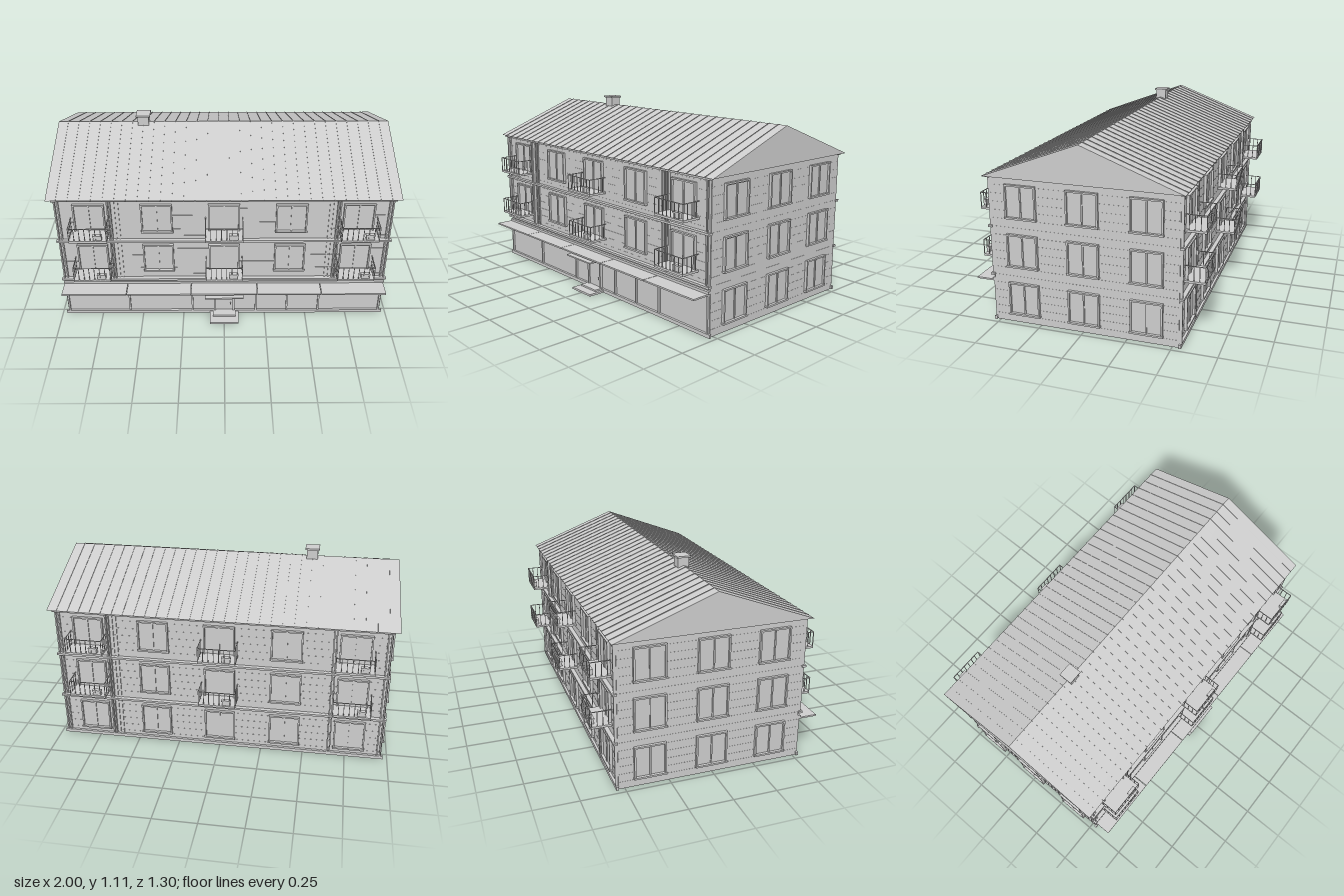
import * as THREE from 'three';

const gray = new THREE.MeshStandardMaterial({ color: 0xcccccc });
gray.name = 'plaster gray';

// Box given by its min and max corners
function box(parent, name, x0, x1, y0, y1, z0, z1) {
  const m = new THREE.Mesh(new THREE.BoxGeometry(x1 - x0, y1 - y0, z1 - z0), gray);
  m.position.set((x0 + x1) / 2, (y0 + y1) / 2, (z0 + z1) / 2);
  m.name = name;
  parent.add(m);
  return m;
}

function group(parent, name) {
  const g = new THREE.Group();
  g.name = name;
  parent.add(g);
  return g;
}

// Two-sash window; wall plane is local z = 0
function addWindow(wall, x, y) {
  const g = group(wall, 'window');
  g.position.set(x, y, 0);
  const w = 0.09, h = 0.19, t = 0.009;
  box(g, 'glass', -w, w, 0, h, 0, 0.004);
  box(g, 'frameLeft', -w, -w + t, 0, h, 0, 0.016);
  box(g, 'frameRight', w - t, w, 0, h, 0, 0.016);
  box(g, 'frameTop', -w, w, h - t, h, 0, 0.016);
  box(g, 'sill', -w - 0.003, w + 0.003, -0.002, 0.008, 0, 0.02);
  box(g, 'mullion', -0.004, 0.004, 0, h, 0, 0.01);
  for (const s of [-1, 1]) box(g, 'sashRail', s * 0.042 - 0.039, s * 0.042 + 0.039, h - 0.015, h - t, 0, 0.008);
}

// Slab, railing and planter
function addBalcony(wall, x, y) {
  const g = group(wall, 'balcony');
  g.position.set(x, y, 0);
  const w = 0.108, d = 0.115, h = 0.098, r = 0.0018;
  box(g, 'balconySlab', -w, w, 0, 0.012, 0, d);
  box(g, 'frontRail', -w, w, h - 0.004, h, d - 0.004, d);
  for (const s of [-1, 1]) {
    const sx = s * (w - 0.002);
    box(g, 'sideRail', sx - 0.002, sx + 0.002, h - 0.004, h, 0, d);
    for (let i = 0; i < 3; i++) {
      const z = 0.02 + i * 0.031;
      box(g, 'baluster', sx - r, sx + r, 0.01, h, z - r, z + r);
    }
  }
  for (let i = 0; i < 8; i++) {
    const bx = -w + 0.002 + i * (2 * w - 0.004) / 7;
    box(g, 'baluster', bx - r, bx + r, 0.01, h, d - 0.004, d);
  }
  box(g, 'planter', 0.031, 0.079, 0.015, 0.043, d - 0.023, d - 0.004);
  box(g, 'planterRim', 0.028, 0.082, 0.04, 0.047, d - 0.025, d - 0.002);
}

// Shallow joint lines of the cladding
function addCladding(wall, halfWidth, yStart) {
  for (let y = yStart; y < 0.83; y += 0.047)
    box(wall, 'claddingJoint', -halfWidth, halfWidth, y, y + 0.002, 0, 0.001);
}

const floors = [0.05, 0.333, 0.613];
const bays = [-0.77, -0.386, 0, 0.386, 0.77];

// Long facade with bands, pilasters, windows and balconies
function addLongFacade(wall, isFront) {
  floors.forEach((y, f) => {
    if (f === 0 && isFront) return;
    bays.forEach((x, i) => {
      addWindow(wall, x, y);
      if (f > 0 && i % 2 === 0) addBalcony(wall, x, y);
    });
  });
  for (const y of [0.268, 0.549, 0.831])
    box(wall, 'floorBand', -0.972, 0.972, y, y + 0.012, 0, 0.024);
  box(wall, 'plinth', -0.975, 0.975, 0, 0.02, 0, 0.014);
  const base = isFront ? 0.27 : 0.02;
  for (const s of [-1, 1])
    for (const [x, d] of [[0.957, 0.016], [0.939, 0.01], [0.661, 0.016], [0.646, 0.016], [0.625, 0.006], [0.603, 0.006]])
      box(wall, 'pilaster', s * x - 0.004, s * x + 0.004, base, 0.835, 0, d);
  addCladding(wall, 0.96, isFront ? 0.3 : 0.04);
}

// Ground floor entrance side
function addEntrance(wall) {
  for (const x of [-0.955, -0.58, -0.195, 0.195, 0.386, 0.58, 0.955])
    box(wall, 'groundPost', x - 0.005, x + 0.005, 0.02, 0.235, 0, 0.012);
  const edges = [-0.965, -0.58, -0.197, 0.197, 0.577, 0.962];
  for (let i = 0; i < 5; i++)
    box(wall, 'canopyPanel', edges[i] + 0.0015, edges[i + 1] - 0.0015, 0.229, 0.238, 0, 0.117);
  box(wall, 'canopyBacking', -0.965, 0.965, 0.238, 0.252, 0, 0.016);
  box(wall, 'doorCanopy', -0.114, 0.114, 0.211, 0.219, 0, 0.132);
  box(wall, 'lowerStep', -0.088, 0.088, 0, 0.012, 0, 0.115);
  box(wall, 'upperStep', -0.07, 0.07, 0.01, 0.022, 0, 0.062);
  box(wall, 'door', -0.052, 0.052, 0.02, 0.19, 0, 0.008);
  for (const s of [-1, 1]) box(wall, 'doorJamb', s * 0.057 - 0.006, s * 0.057 + 0.006, 0.02, 0.195, 0, 0.017);
  box(wall, 'doorLintel', -0.068, 0.068, 0.19, 0.2, 0, 0.02);
  box(wall, 'doorHandle', 0.037, 0.043, 0.068, 0.082, 0.006, 0.016);
}

export function createModel() {
  const model = new THREE.Group();
  model.name = 'apartmentBuilding';
  box(model, 'walls', -0.965, 0.965, 0, 0.843, -0.535, 0.52);

  // Long sides
  const front = group(model, 'frontFacade');
  front.position.z = 0.52;
  addLongFacade(front, true);
  addEntrance(front);
  const back = group(model, 'backFacade');
  back.position.z = -0.535;
  back.rotation.y = Math.PI;
  addLongFacade(back, false);

  // Gable sides
  for (const s of [-1, 1]) {
    const side = group(model, s > 0 ? 'leftFacade' : 'rightFacade');
    side.position.set(s * 0.965, 0, -0.008);
    side.rotation.y = s * Math.PI / 2;
    for (const y of floors) for (const x of [-0.351, 0, 0.351]) addWindow(side, x, y);
    const cladding = group(side, 'cladding');
    cladding.position.x = 0;
    addCladding(cladding, 0.525, 0.04);
  }

  // Closed gable roof, extruded along x
  const eaveF = 0.552, eaveB = -0.566, ridgeZ = -0.007, eaveY = 0.843, ridgeY = 1.055;
  const gable = new THREE.Shape([
    new THREE.Vector2(-eaveF, eaveY), new THREE.Vector2(-eaveB, eaveY), new THREE.Vector2(-ridgeZ, ridgeY)]);
  const roofGeo = new THREE.ExtrudeGeometry(gable, { depth: 2, bevelEnabled: false });
  roofGeo.translate(0, 0, -1).rotateY(Math.PI / 2);
  const roof = new THREE.Mesh(roofGeo, gray);
  roof.name = 'roof';
  model.add(roof);

  // Standing seams on both slopes
  const seams = group(model, 'roofSeams');
  for (const eave of [eaveF, eaveB]) {
    const dz = eave - ridgeZ, dy = eaveY - ridgeY;
    for (let i = 0; i < 30; i++) {
      const seam = new THREE.Mesh(new THREE.BoxGeometry(0.003, 0.006, Math.hypot(dz, dy)), gray);
      seam.name = 'roofSeam';
      seam.position.set(-0.9425 + i * 0.065, (eaveY + ridgeY) / 2, (eave + ridgeZ) / 2);
      seam.rotation.x = Math.atan(-dy / dz);
      seams.add(seam);
    }
  }

  // Chimney
  box(model, 'chimney', -0.518, -0.452, 0.98, 1.102, -0.04, 0.024);
  box(model, 'chimneyCap', -0.527, -0.443, 1.1, 1.11, -0.048, 0.032);
  return model;
}
